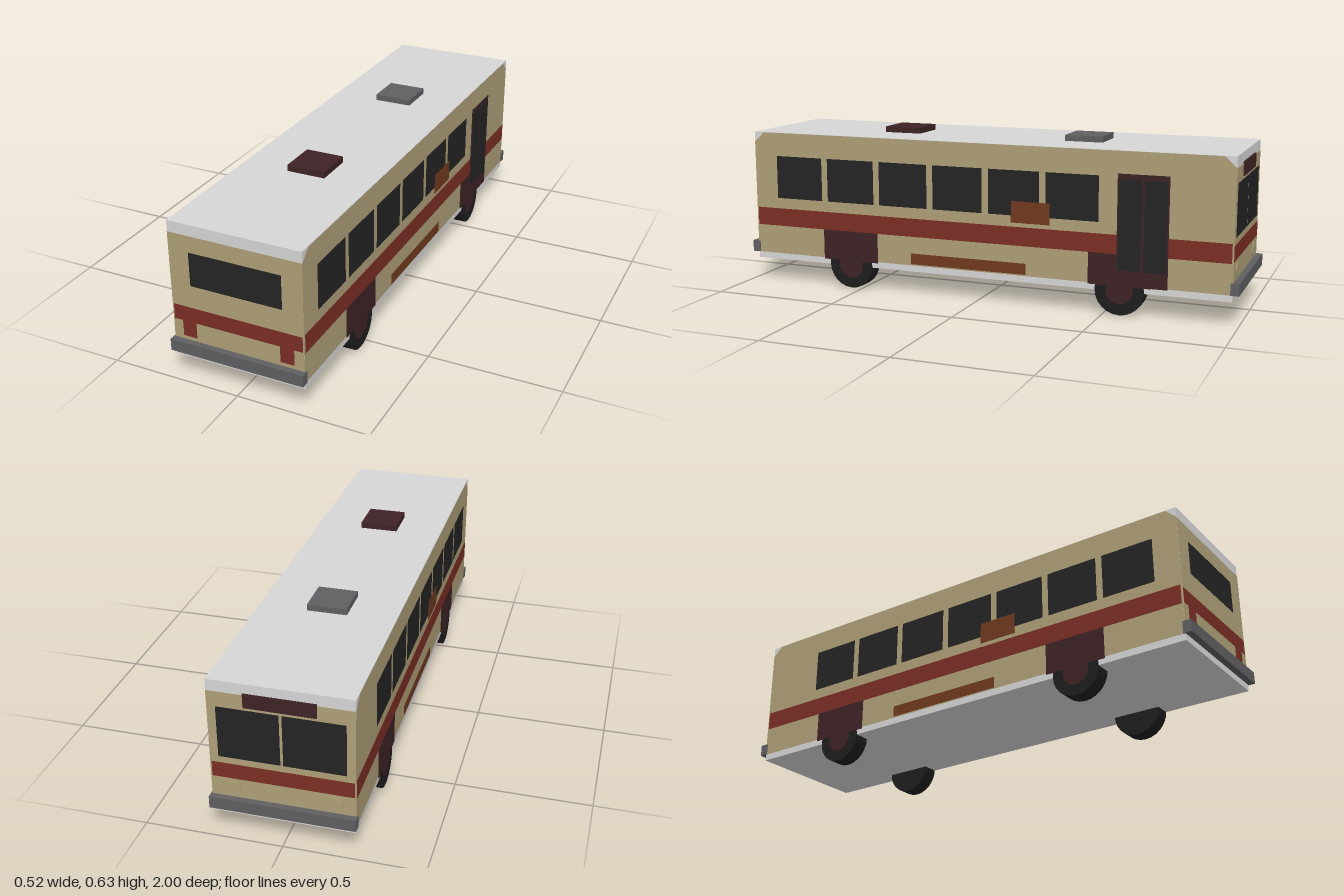
import * as THREE from 'three';

const mat = (name, color) => {
  const m = new THREE.MeshStandardMaterial({ color });
  m.name = name;
  return m;
};

export function createModel() {
  const white = mat('white', 0xd6d6d6);
  const tan = mat('tan', 0xae9f77);
  const red = mat('red', 0x7b2e25);
  const glass = mat('dark glass', 0x242424);
  const grey = mat('grey', 0x5f5f62);
  const brown = mat('dark brown', 0x3e2325);
  const rust = mat('rust', 0x70391f);
  const rubber = mat('rubber', 0x1e1e1e);

  const bus = new THREE.Group();
  bus.name = 'bus';
  const HW = 0.253, HL = 0.975;

  const add = (name, geometry, material) => {
    const mesh = new THREE.Mesh(geometry, material);
    mesh.name = name;
    bus.add(mesh);
    return mesh;
  };
  // box from its limits on each axis
  const box = (name, material, x0, x1, y0, y1, z0, z1) => {
    const mesh = add(name, new THREE.BoxGeometry(Math.abs(x1 - x0), y1 - y0, Math.abs(z1 - z0)), material);
    mesh.position.set((x0 + x1) / 2, (y0 + y1) / 2, (z0 + z1) / 2);
    return mesh;
  };
  // thin plate on a side wall (s = +1 or -1), standing out by t
  const sidePlate = (name, material, s, z0, z1, y0, y1, t) =>
    box(name, material, s * (HW - 0.002), s * (HW + t), y0, y1, z0, z1);
  // thin plate on an end wall
  const endPlate = (name, material, s, x0, x1, y0, y1, t) =>
    box(name, material, x0, x1, y0, y1, s * (HL - 0.002), s * (HL + t));

  // body shell
  box('body', white, -HW, HW, 0.09, 0.612, -HL, HL);

  // painted side panel with clipped upper corners
  const panel = new THREE.Shape([
    [-HL, 0.115], [HL, 0.115], [HL, 0.572], [HL - 0.042, 0.611], [-HL + 0.042, 0.611], [-HL, 0.572],
  ].map(([x, y]) => new THREE.Vector2(x, y)));

  for (const s of [1, -1]) {
    const paint = add('sidePaint', new THREE.ShapeGeometry(panel), tan);
    paint.rotation.y = s * Math.PI / 2;
    paint.position.x = s * (HW + 0.001);

    sidePlate('sideStripe', red, s, -0.97, 0.97, 0.23, 0.302, 0.002);

    // side windows: one more on the side without the door
    const count = s > 0 ? 6 : 7;
    for (let i = 0; i < count; i++) {
      const z = 0.773 - i * 0.23;
      sidePlate('sideWindow', glass, s, z - 0.102, z + 0.102, 0.345, 0.517, 0.002);
    }

    // sign and lower panel, swapped end for end between the sides
    sidePlate('sideSign', rust, s, s * -0.292, s * -0.138, 0.318, 0.4, 0.003);
    sidePlate('lowerPanel', rust, s, s * -0.197, s * 0.28, 0.12, 0.163, 0.002);

    // wheels with arch covers
    for (const z of [0.546, -0.562]) {
      sidePlate('wheelArch', brown, s, z - 0.12, z + 0.12, 0.11, 0.23, 0.0025);
      const tyre = add('tyre', new THREE.CylinderGeometry(0.094, 0.094, 0.0625, 24), rubber);
      tyre.rotation.z = Math.PI / 2;
      tyre.position.set(s * 0.2222, 0.094, z);
      const hub = add('hub', new THREE.CylinderGeometry(0.052, 0.052, 0.01, 24), brown);
      hub.rotation.z = Math.PI / 2;
      hub.position.set(s * 0.2495, 0.094, z);
    }
  }

  // folding door
  sidePlate('doorFrame', brown, 1, -0.742, -0.55, 0.112, 0.528, 0.0035);
  for (const [z0, z1] of [[-0.64, -0.556], [-0.736, -0.652]])
    sidePlate('doorGlass', glass, 1, z0, z1, 0.17, 0.508, 0.0045);

  // both ends: paint, stripe and bumper
  for (const s of [1, -1]) {
    endPlate('endPaint', tan, s, -HW, HW, 0.115, 0.57, 0.001);
    endPlate('endStripe', red, s, -0.248, 0.248, 0.235, 0.293, 0.002);
    box('bumper', grey, -0.258, 0.258, 0.115, 0.16, s * 0.968, s);
  }

  // end with the single window and the tail lights
  endPlate('endWindow', glass, 1, -0.175, 0.175, 0.38, 0.508, 0.002);
  for (const s of [1, -1])
    endPlate('tailLight', red, 1, s * 0.163, s * 0.215, 0.175, 0.236, 0.003);

  // end with the windscreen, destination board and headlights
  for (const s of [1, -1]) {
    endPlate('windscreen', glass, -1, s * 0.005, s * 0.222, 0.318, 0.513, 0.002);
    const lamp = add('headlight', new THREE.CylinderGeometry(0.028, 0.028, 0.006, 20), tan);
    lamp.rotation.x = Math.PI / 2;
    lamp.position.set(s * 0.178, 0.195, -HL - 0.001);
  }
  endPlate('destinationBoard', brown, -1, -0.125, 0.125, 0.525, 0.577, 0.006);

  // roof hatches
  box('roofHatch', brown, -0.074, 0.074, 0.605, 0.635, 0.319, 0.471);
  box('roofVent', grey, -0.074, 0.074, 0.605, 0.635, -0.439, -0.29);

  return bus;
}
